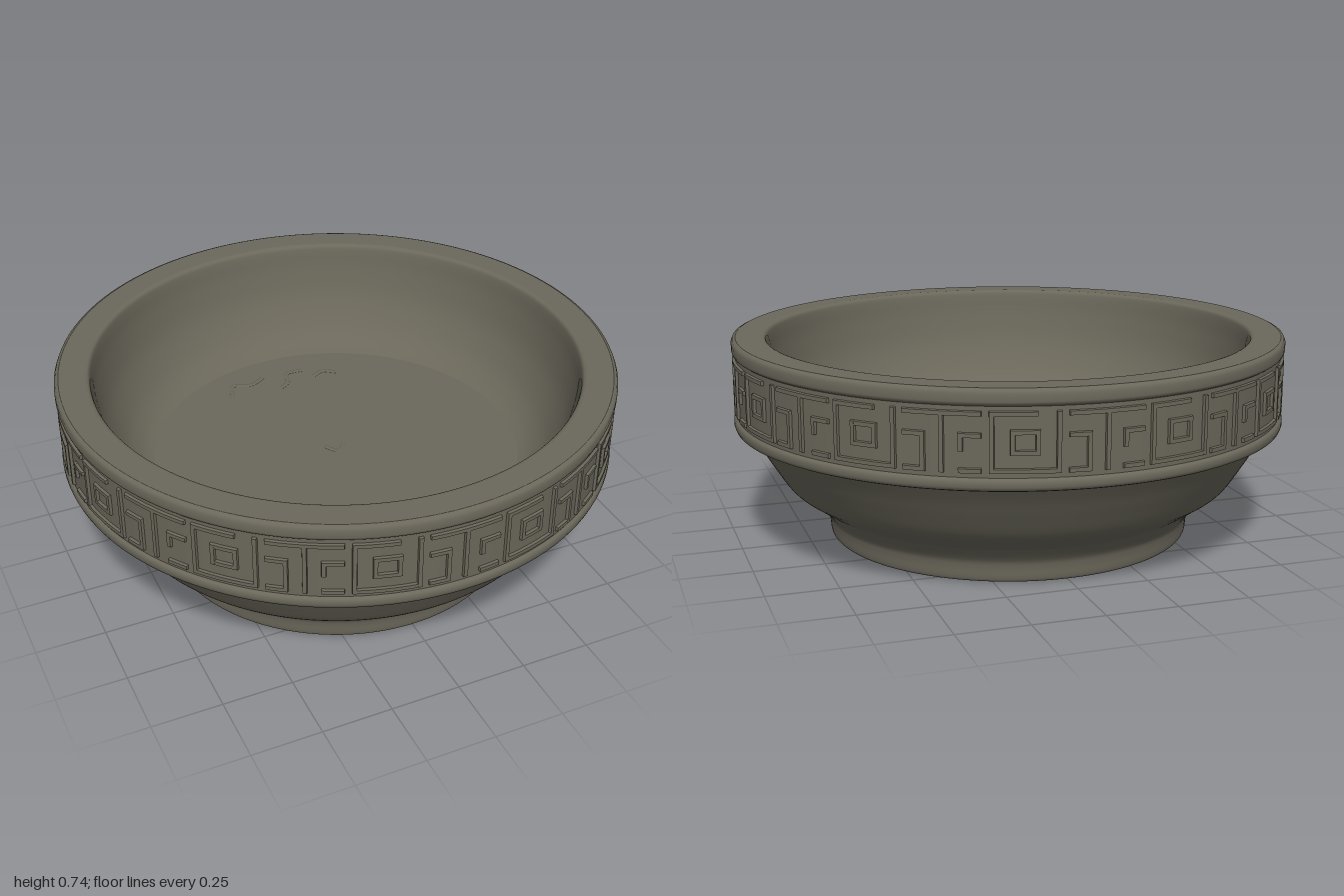
import * as THREE from 'three';
import { mergeGeometries } from 'three/addons/utils/BufferGeometryUtils.js';

const SEGMENTS = 128;

export function createModel() {
  const model = new THREE.Group();
  model.name = 'bowl';
  const stone = new THREE.MeshStandardMaterial({ color: 0x6b685b });
  stone.name = 'olive grey stone';

  const add = (name, geometry) => {
    const mesh = new THREE.Mesh(geometry, stone);
    mesh.name = name;
    model.add(mesh);
  };
  // Each profile is [radius, height]; they run on from the base, up the outside and down the inside.
  const lathe = (name, points) =>
    add(name, new THREE.LatheGeometry(points.map(([r, y]) => new THREE.Vector2(r, y)), SEGMENTS));
  const smooth = (points, n) =>
    new THREE.SplineCurve(points.map(([r, y]) => new THREE.Vector2(r, y))).getPoints(n).map((p) => [p.x, p.y]);

  lathe('base', [[0, 0], [0.645, 0]]);
  lathe('foot', smooth([[0.645, 0], [0.659, 0.006], [0.664, 0.022], [0.667, 0.055],
    [0.676, 0.085], [0.715, 0.135]], 20));
  lathe('body', smooth([[0.715, 0.135], [0.765, 0.17], [0.82, 0.213], [0.875, 0.295],
    [0.915, 0.36], [0.955, 0.418]], 24));
  lathe('bandUnderside', [[0.955, 0.418], [0.985, 0.418]]);
  lathe('lowerLip', [[0.985, 0.418], [0.996, 0.423], [1, 0.434], [1, 0.448], [0.996, 0.457], [0.988, 0.462]]);
  lathe('bandPanel', [[0.988, 0.462], [0.988, 0.688]]);
  lathe('upperLip', [[0.988, 0.688], [0.997, 0.694], [1, 0.703], [1, 0.727], [0.995, 0.739], [0.984, 0.744]]);
  lathe('rimTop', [[0.984, 0.744], [0.892, 0.744]]);
  lathe('innerWall', smooth([[0.892, 0.744], [0.879, 0.738], [0.872, 0.715], [0.86, 0.64],
    [0.83, 0.53], [0.775, 0.43], [0.72, 0.375], [0.675, 0.352]], 32));
  lathe('floor', [[0.675, 0.352], [0, 0.352]]);

  // Fret band: raised bars bent around the rim.
  const tiles = 24;
  const tileAngle = (Math.PI * 2) / tiles;
  const yLow = 0.485, yHigh = 0.665, bar = 0.018;
  const bentBar = (tile, [x0, y0, x1, y1]) => {
    const width = Math.abs(x1 - x0) * tileAngle + bar;
    const height = Math.abs(y1 - y0) * (yHigh - yLow) + bar;
    const angle = (tile - 0.5 + (x0 + x1) / 2) * tileAngle;
    const y = yLow + ((y0 + y1) / 2) * (yHigh - yLow);
    const g = new THREE.BoxGeometry(width, height, 0.014, Math.ceil(width / 0.05), 1, 1);
    const p = g.attributes.position;
    for (let i = 0; i < p.count; i++) {
      const outer = p.getZ(i) > 0;
      const inset = outer ? 0.75 : 1; // slightly bevelled sides
      const edge = (v, half) => v - Math.sign(v) * (Math.abs(v) > half - 1e-4 ? (1 - inset) * bar * 0.5 : 0);
      const a = angle + edge(p.getX(i), width / 2);
      const r = outer ? 0.998 : 0.984;
      p.setXYZ(i, r * Math.sin(a), y + edge(p.getY(i), height / 2), r * Math.cos(a));
    }
    g.computeVertexNormals();
    return g;
  };
  // Bars as [x0, y0, x1, y1] in a unit tile.
  const branching = [
    [0.05, 1, 0.95, 1], [0.5, 0, 0.5, 1], [0.05, 0, 0.27, 0], [0.27, 0, 0.27, 0.62],
    [0.05, 0.62, 0.27, 0.62], [0.73, 0.38, 0.73, 0.62], [0.73, 0.62, 0.95, 0.62], [0.73, 0, 0.95, 0],
  ];
  const nested = [
    [0.1, 0, 0.1, 1], [0.1, 1, 0.62, 1], [0.1, 0, 0.9, 0], [0.9, 0, 0.9, 1],
    [0.35, 0.32, 0.65, 0.32], [0.35, 0.32, 0.35, 0.68], [0.35, 0.68, 0.65, 0.68], [0.65, 0.32, 0.65, 0.68],
  ];
  const bars = [];
  for (let i = 0; i < tiles; i++) {
    for (const segment of i % 2 ? nested : branching) bars.push(bentBar(i, segment));
  }
  add('fretBand', mergeGeometries(bars));

  // Faint worn scrolls on the floor, almost flush with it.
  const ridge = (points) => {
    const curve = new THREE.CatmullRomCurve3(points.map(([x, z]) => new THREE.Vector3(x, 0, z)));
    const g = new THREE.TubeGeometry(curve, 24, 0.01, 6, false);
    return g.scale(1, 0.4, 1).translate(0, 0.351, 0);
  };
  const scrolls = [];
  for (const z of [-0.53, 0.46]) {
    scrolls.push(ridge([[-0.23, z + 0.06], [-0.2, z - 0.02], [-0.13, z], [-0.07, z - 0.03]]));
    scrolls.push(ridge([[-0.03, z + 0.07], [0.01, z + 0.04], [0.03, z - 0.02], [0.1, z - 0.02]]));
    scrolls.push(ridge([[0.12, z + 0.04], [0.17, z + 0.02], [0.22, z + 0.05]]));
  }
  for (const s of [-1, 1]) scrolls.push(ridge([[s * 0.035, -0.015], [s * 0.025, 0.005], [s * 0.01, 0.025]]));
  add('floorScrolls', mergeGeometries(scrolls));

  return model;
}
